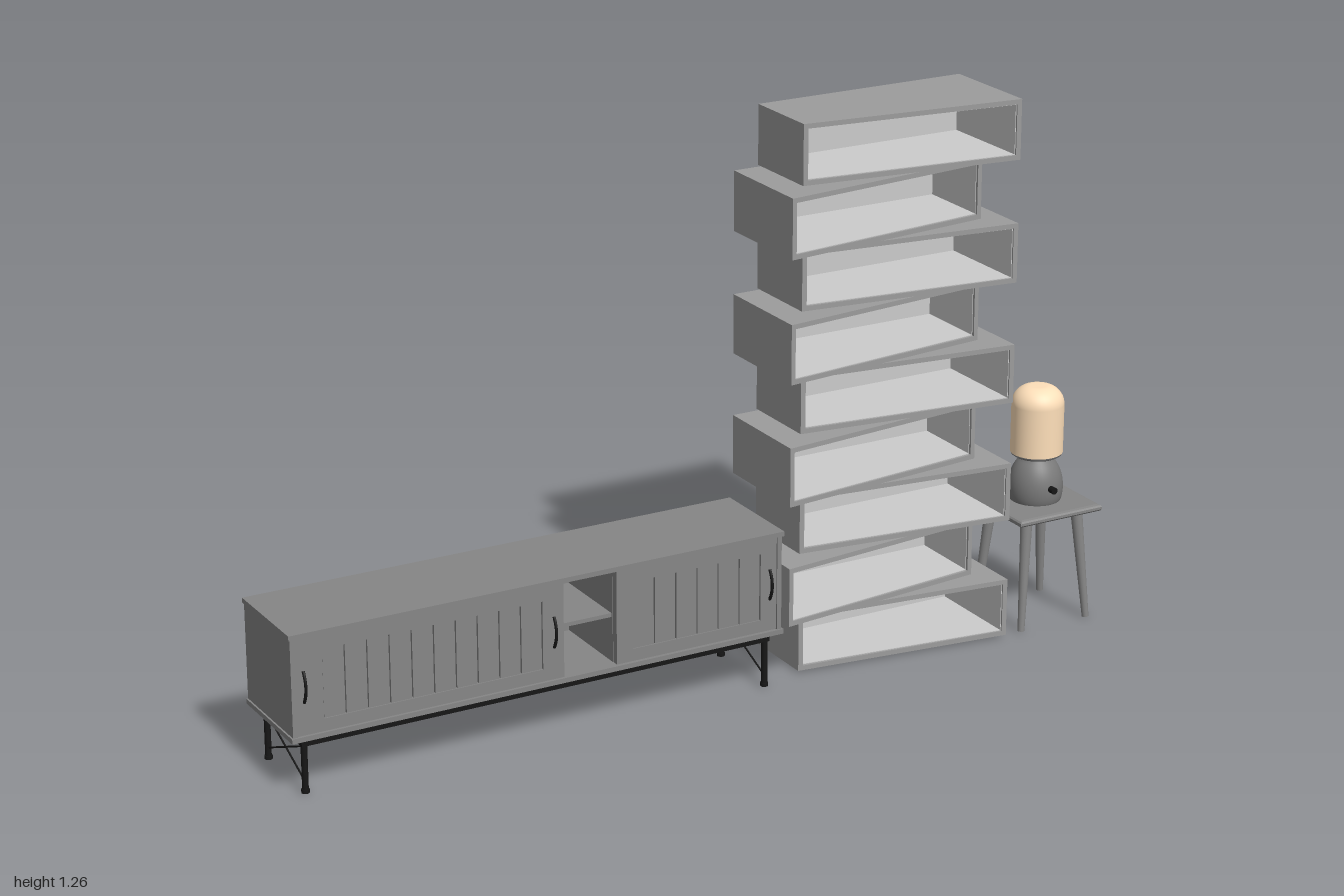
import * as THREE from 'three';

const mat = (color) => new THREE.MeshStandardMaterial({ color });
const SHELL = mat(0x9c9c9c), LINER = mat(0xcccccc), WOOD = mat(0x868686);
const BASE = mat(0x7a7a7a), BLACK = mat(0x161616), SHADE = mat(0xffe0ba);

function add(parent, name, geometry, material) {
  const mesh = new THREE.Mesh(geometry, material);
  mesh.name = name;
  parent.add(mesh);
  return mesh;
}

// Box given by its minimum and maximum on each axis
function block(parent, name, material, x0, x1, y0, y1, z0, z1) {
  const mesh = add(parent, name, new THREE.BoxGeometry(x1 - x0, y1 - y0, z1 - z0), material);
  mesh.position.set((x0 + x1) / 2, (y0 + y1) / 2, (z0 + z1) / 2);
  return mesh;
}

// Round rod between two points
function rod(parent, name, material, a, b, ra, rb = ra, sides = 12) {
  const from = new THREE.Vector3(...a), to = new THREE.Vector3(...b);
  const dir = to.clone().sub(from);
  const mesh = add(parent, name, new THREE.CylinderGeometry(rb, ra, dir.length(), sides), material);
  mesh.position.copy(from).addScaledVector(dir, 0.5);
  mesh.quaternion.setFromUnitVectors(new THREE.Vector3(0, 1, 0), dir.normalize());
  return mesh;
}

// Horizontal panel whose front edge slants from zl (left edge x0) to zr (x1)
function slantPanel(parent, name, material, x0, x1, y0, y1, zb, zl, zr) {
  const s = new THREE.Shape([[x0, -zb], [x0, -zl], [x1, -zr], [x1, -zb]].map((p) => new THREE.Vector2(...p)));
  const g = new THREE.ExtrudeGeometry(s, { depth: y1 - y0, bevelEnabled: false });
  g.rotateX(-Math.PI / 2).translate(0, y0, 0);
  return add(parent, name, g, material);
}

// Open-fronted box with a slanted front, made from five panels of thickness t
function openBox(parent, name, material, x0, x1, y0, y1, zb, zl, zr, t) {
  const zAt = (x) => zl + ((zr - zl) * (x - x0)) / (x1 - x0);
  slantPanel(parent, name + 'Bottom', material, x0, x1, y0, y0 + t, zb, zl, zr);
  slantPanel(parent, name + 'Top', material, x0, x1, y1 - t, y1, zb, zl, zr);
  for (const [a, b] of [[x0, x0 + t], [x1 - t, x1]])
    slantPanel(parent, name + 'Side', material, a, b, y0 + t, y1 - t, zb, zAt(a), zAt(b));
  block(parent, name + 'Back', material, x0 + t, x1 - t, y0 + t, y1 - t, zb, zb + t);
}

// Stack of nine alternating open boxes
function makeBookcase() {
  const g = new THREE.Group();
  g.name = 'bookcase';
  const pitch = 0.1398, gap = 0.004, t = 0.011, zb = -0.128, near = 0.06, far = 0.118;
  for (let i = 0; i < 9; i++) {
    const cell = new THREE.Group();
    cell.name = 'shelfBox';
    g.add(cell);
    const odd = i % 2 === 1;
    const x0 = odd ? 0.176 : 0.236, x1 = x0 + 0.515;
    const y0 = i * pitch + gap, y1 = (i + 1) * pitch;
    const zl = odd ? far : near, zr = odd ? near : far;
    openBox(cell, 'shell', SHELL, x0, x1, y0, y1, zb, zl, zr, t);
    openBox(cell, 'liner', LINER, x0 + t, x1 - t, y0 + t, y1 - t, zb + t, zl - 0.005, zr - 0.005, 0.0015);
    for (const x of [0.28, 0.65]) for (const z of [-0.1, 0.04])
      rod(cell, 'spacer', SHELL, [x, y0 - gap, z], [x, y0, z], 0.01);
  }
  return g;
}

// Framed door with a recessed panel of vertical planks
function makeDoor(x0, x1, stileL, stileR, zf, handles) {
  const g = new THREE.Group();
  g.name = 'door';
  const y0 = 0.137, y1 = 0.353, p0 = 0.165, p1 = 0.32, zb = zf - 0.016;
  const a = x0 + stileL, b = x1 - stileR;
  block(g, 'stile', WOOD, x0, a, y0, y1, zb, zf);
  block(g, 'stile', WOOD, b, x1, y0, y1, zb, zf);
  block(g, 'bottomRail', WOOD, a, b, y0, p0, zb, zf);
  block(g, 'topRail', WOOD, a, b, p1, y1, zb, zf);
  block(g, 'doorPanel', WOOD, a, b, p0, p1, zb, zb + 0.007);
  const n = Math.round((b - a) / 0.05), w = (b - a) / n;
  for (let i = 0; i < n; i++)
    block(g, 'plank', WOOD, a + i * w + 0.0015, a + (i + 1) * w - 0.0015, p0, p1, zb + 0.007, zf - 0.003);
  // Bowed pulls
  for (const x of handles) {
    const curve = new THREE.QuadraticBezierCurve3(
      new THREE.Vector3(x, 0.21, zf), new THREE.Vector3(x, 0.245, zf + 0.022), new THREE.Vector3(x, 0.28, zf));
    add(g, 'handle', new THREE.TubeGeometry(curve, 14, 0.0035, 8), BLACK);
  }
  return g;
}

function makeSideboard() {
  const g = new THREE.Group();
  g.name = 'sideboard';
  const x0 = -1, x1 = 0.17, zb = -0.131, zf = 0.105, y0 = 0.125, y1 = 0.365, t = 0.011;
  block(g, 'topPanel', WOOD, x0, x1, y1 - t, y1, zb, zf);
  block(g, 'bottomPanel', WOOD, x0, x1, y0, y0 + t, zb, zf);
  block(g, 'sidePanel', WOOD, x0 + 0.004, x0 + 0.015, y0 + t, y1 - t, zb, zf - 0.004);
  block(g, 'sidePanel', WOOD, x1 - 0.015, x1 - 0.004, y0 + t, y1 - t, zb, zf - 0.004);
  block(g, 'backPanel', WOOD, x0 + 0.015, x1 - 0.015, y0 + t, y1 - t, zb, zb + 0.01);
  // Open niche between the doors
  block(g, 'divider', WOOD, -0.38, -0.369, y0 + t, y1 - t, zb + 0.01, 0.08);
  block(g, 'divider', WOOD, -0.241, -0.23, y0 + t, y1 - t, zb + 0.01, 0.08);
  block(g, 'nicheShelf', WOOD, -0.369, -0.241, 0.239, 0.248, zb + 0.01, 0.075);
  g.add(makeDoor(-0.985, -0.369, 0.06, 0.05, 0.1, [-0.968, -0.392]));
  g.add(makeDoor(-0.241, 0.155, 0.041, 0.04, 0.098, [0.138]));

  // Metal underframe with crossed end braces
  const base = new THREE.Group();
  base.name = 'underframe';
  g.add(base);
  const xs = [-0.965, 0.135], zs = [-0.108, 0.082], r = 0.008;
  for (const z of zs) block(base, 'longRail', BLACK, xs[0] - r, xs[1] + r, 0.107, y0, z - r, z + r);
  for (const x of xs) {
    block(base, 'endRail', BLACK, x - r, x + r, 0.107, y0, zs[0] + r, zs[1] - r);
    for (const z of zs) {
      rod(base, 'leg', BLACK, [x, 0, z], [x, 0.11, z], 0.007);
      rod(base, 'foot', BLACK, [x, 0, z], [x, 0.008, z], 0.009);
    }
    rod(base, 'brace', BLACK, [x, 0.025, zs[0]], [x, 0.105, zs[1]], 0.002, 0.002, 6);
    rod(base, 'brace', BLACK, [x, 0.105, zs[0]], [x, 0.025, zs[1]], 0.002, 0.002, 6);
  }
  return g;
}

function makeStool() {
  const g = new THREE.Group();
  g.name = 'stool';
  g.position.set(0.888, 0, 0.0165);
  // Square seat with bevelled edges
  const h = 0.101;
  const s = new THREE.Shape([[-h, -h], [h, -h], [h, h], [-h, h]].map((p) => new THREE.Vector2(...p)));
  const seat = new THREE.ExtrudeGeometry(s, {
    depth: 0.006, bevelThickness: 0.005, bevelSize: 0.01, bevelSegments: 2 });
  seat.rotateX(-Math.PI / 2).translate(0, 0.265, 0);
  add(g, 'seat', seat, WOOD);
  for (const sx of [-1, 1]) for (const sz of [-1, 1])
    rod(g, 'stoolLeg', WOOD, [sx * 0.089, 0, sz * 0.092], [sx * 0.068, 0.264, sz * 0.07], 0.008, 0.014, 16);
  return g;
}

function makeLamp() {
  const g = new THREE.Group();
  g.name = 'lamp';
  g.position.set(0.893, 0.276, 0.0125);
  const lathe = (name, pts, material) =>
    add(g, name, new THREE.LatheGeometry(pts.map((p) => new THREE.Vector2(...p)), 40), material);
  // Domed base
  const dome = [[0, 0], [0.058, 0], [0.058, 0]];
  for (let i = 0; i <= 12; i++) {
    const a = -0.3 + (i / 12) * 1.25;
    dome.push([0.063 * Math.cos(a), 0.03 + 0.084 * Math.sin(a)]);
  }
  dome[3][1] = Math.max(dome[3][1], 0.004);
  lathe('lampBase', [...dome, [0.035, 0.102], [0.035, 0.108]], BASE);
  lathe('collar', [[0.03, 0.104], [0.052, 0.106], [0.058, 0.11], [0.058, 0.118], [0, 0.118]], BASE);
  // Rounded shade
  const shade = [[0, 0.114], [0.06, 0.114], [0.06, 0.114]];
  for (let i = 0; i <= 12; i++) {
    const a = (i / 12) * Math.PI / 2;
    shade.push([0.018 + 0.042 * Math.cos(a), 0.228 + 0.043 * Math.sin(a)]);
  }
  lathe('lampShade', [...shade, [0, 0.271]], SHADE);
  rod(g, 'knob', BLACK, [0, 0.04, 0.055], [0, 0.04, 0.077], 0.008, 0.008, 20);
  return g;
}

export function createModel() {
  const model = new THREE.Group();
  model.name = 'livingRoomSet';
  model.add(makeSideboard(), makeBookcase(), makeStool(), makeLamp());
  return model;
}
